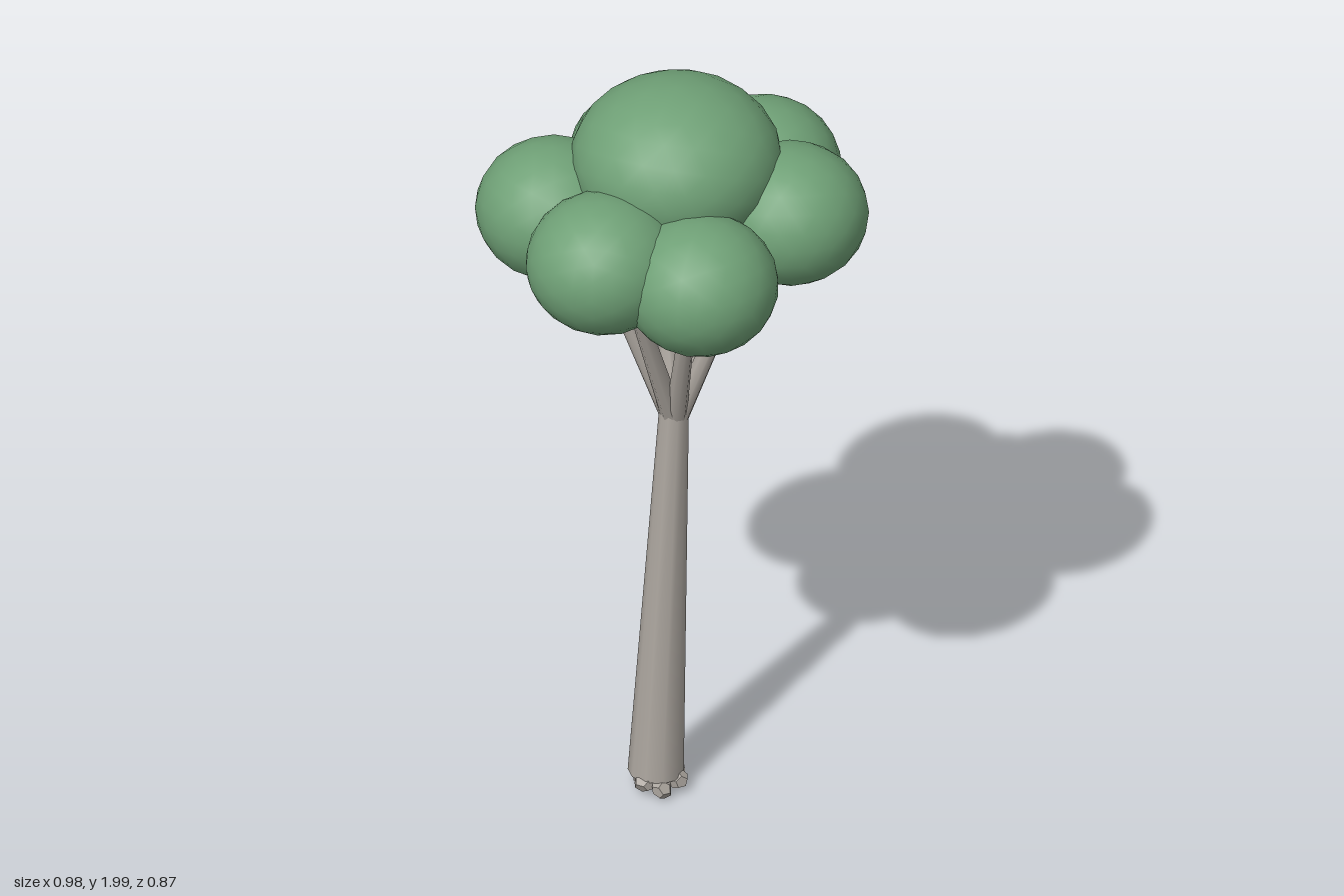
import * as THREE from 'three';

const UP = new THREE.Vector3(0, 1, 0);

export function createModel() {
  const tree = new THREE.Group();
  tree.name = 'tree';
  const leaf = new THREE.MeshStandardMaterial({ color: 0x6fa076 });
  leaf.name = 'leaf green';
  const bark = new THREE.MeshStandardMaterial({ color: 0xaaa49d });
  bark.name = 'grey bark';

  // Tapered round limb from one point to another
  function limb(name, from, to, r0, r1, sides) {
    const a = new THREE.Vector3(...from);
    const b = new THREE.Vector3(...to);
    const dir = b.clone().sub(a);
    const mesh = new THREE.Mesh(new THREE.CylinderGeometry(r1, r0, dir.length(), sides), bark);
    mesh.position.copy(a).add(b).multiplyScalar(0.5);
    mesh.quaternion.setFromUnitVectors(UP, dir.normalize());
    mesh.name = name;
    tree.add(mesh);
  }

  // Rounded leaf mass, a slightly flattened low-poly ball
  function foliage(name, x, y, z, r, ry, turn) {
    const mesh = new THREE.Mesh(new THREE.IcosahedronGeometry(1, 3), leaf);
    mesh.position.set(x, y, z);
    mesh.scale.set(r, ry, r);
    mesh.rotation.y = turn;
    mesh.name = name;
    tree.add(mesh);
  }

  // Leaning trunk
  limb('trunk', [-0.073, 0.045, -0.002], [-0.003, 1.075, 0], 0.07, 0.037, 10);

  // Crown: one large mass over a ring of six
  foliage('crownTop', 0.013, 1.79, -0.005, 0.265, 0.21, 0.3);
  const ring = [
    [0.293, 1.655, 0.045], [0.165, 1.655, 0.237], [-0.18, 1.607, 0.228],
    [-0.293, 1.64, 0.01], [-0.175, 1.645, -0.247], [0.19, 1.62, -0.245],
  ];
  ring.forEach(([x, y, z], i) => {
    foliage('crownSide' + (i + 1), x, y, z, 0.196, 0.177, i * 0.7);
    // Branch rising from the fork into this leaf mass
    limb('branch' + (i + 1), [x * 0.03, 1.05, z * 0.03], [x * 0.66, 1.525, z * 0.66], 0.028, 0.017, 8);
  });

  // Small angular root stubs around the foot
  for (let i = 0; i < 6; i++) {
    const a = (i / 6) * Math.PI * 2 + 0.2;
    const geo = new THREE.DodecahedronGeometry(0.03);
    geo.scale(1, 0.75, 1);
    const root = new THREE.Mesh(geo, bark);
    root.position.set(-0.075 + Math.cos(a) * 0.051, 0.03 + (i % 2) * 0.008, 0.014 + Math.sin(a) * 0.043);
    root.rotation.set(0.25 * (i % 3), a, 0.2);
    root.name = 'root' + (i + 1);
    tree.add(root);
  }
  return tree;
}
